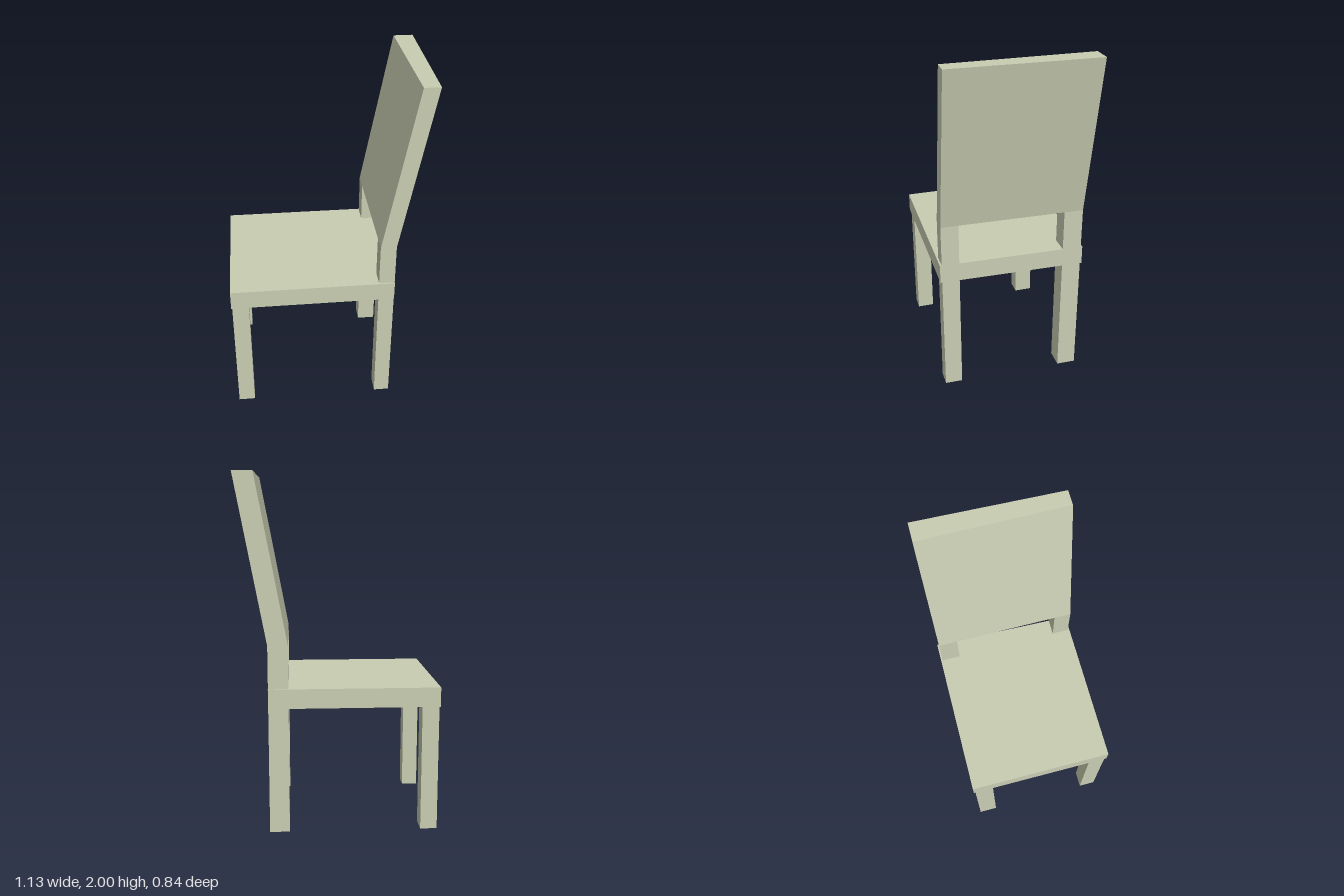
import * as THREE from 'three';

const SEAT_BOTTOM = 0.72, SEAT_TOP = 0.83, BEND = 1.07, TOP = 2;
const BACK_FRONT_X = 0.28;

// Rear plane of the chair, running slightly askew across its width
const rearX = z => 0.381 - 0.027 * z;
// Backward lean of the backrest above the bend
const lean = y => 0.174 * Math.max(0, (y - BEND) / (TOP - BEND));

export function createModel() {
  const chair = new THREE.Group();
  chair.name = 'chair';
  const material = new THREE.MeshStandardMaterial({ color: 0xc9cdb2, flatShading: true });

  // Block between given limits; xMin and xMax may depend on (y, z)
  function block(name, xMin, xMax, [y0, y1], [z0, z1]) {
    const geometry = new THREE.BoxGeometry(1, 1, 1);
    const p = geometry.attributes.position;
    for (let i = 0; i < p.count; i++) {
      const y = p.getY(i) < 0 ? y0 : y1;
      const z = p.getZ(i) < 0 ? z0 : z1;
      p.setXYZ(i, p.getX(i) < 0 ? xMin(y, z) : xMax(y, z), y, z);
    }
    geometry.computeVertexNormals();
    const mesh = new THREE.Mesh(geometry, material);
    mesh.name = name;
    chair.add(mesh);
  }

  const backFront = y => BACK_FRONT_X + lean(y);
  const backRear = (y, z) => rearX(z) + lean(y);

  // Seat slab
  block('seat', () => -0.565, (y, z) => rearX(z), [SEAT_BOTTOM, SEAT_TOP], [-0.42, 0.42]);

  // Legs and the posts that carry the backrest
  const sides = [['left', [0.31, 0.41]], ['right', [-0.41, -0.30]]];
  for (const [side, zRange] of sides) {
    block(side + 'FrontLeg', () => -0.56, () => -0.465, [0, SEAT_BOTTOM], zRange);
    block(side + 'RearLeg', backFront, backRear, [0, SEAT_BOTTOM], zRange);
    block(side + 'BackPost', backFront, backRear, [SEAT_TOP, BEND], zRange);
  }

  // Leaning backrest panel
  block('backrest', backFront, backRear, [BEND, TOP], [-0.41, 0.41]);

  return chair;
}
